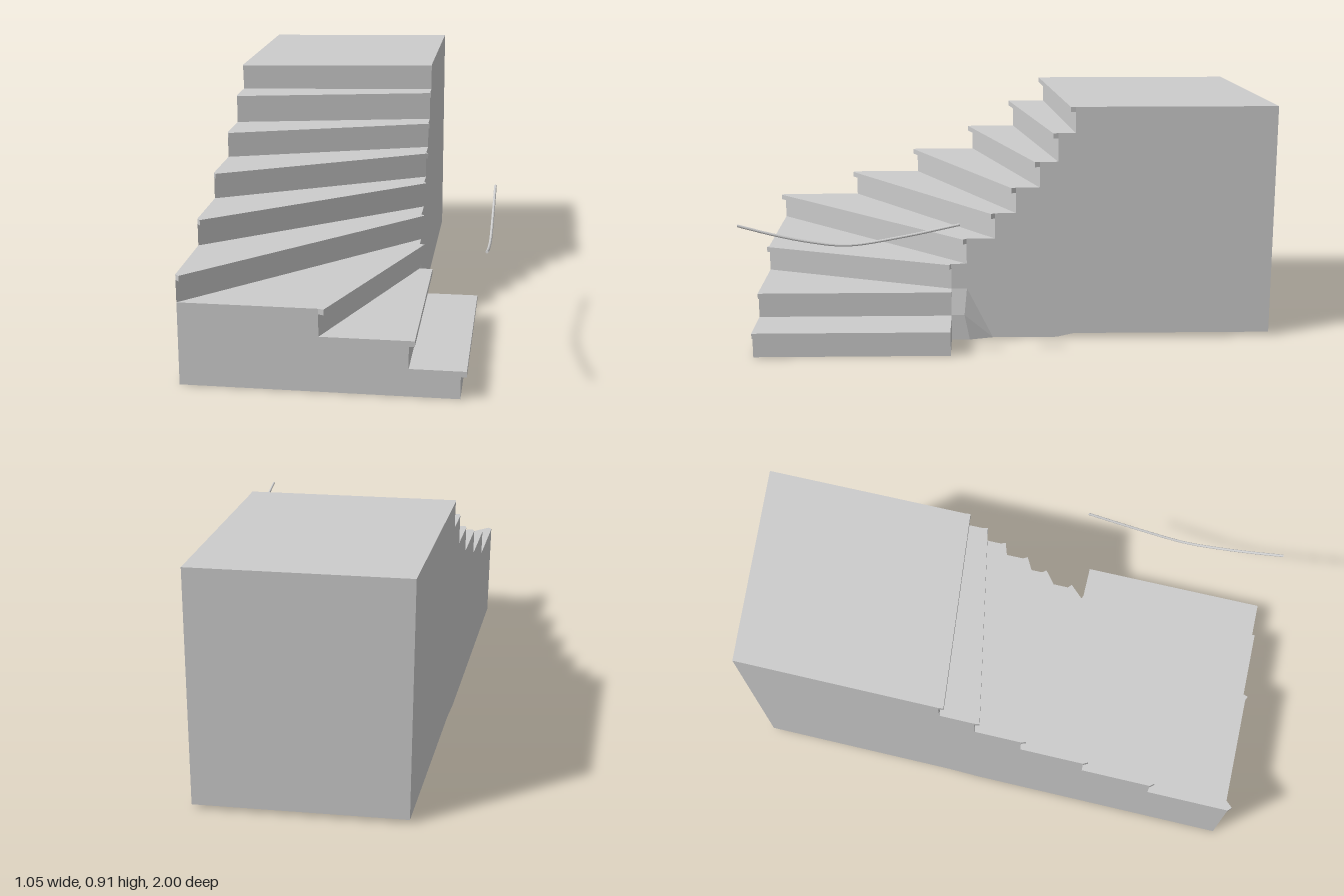
import * as THREE from 'three';
import { ConvexGeometry } from 'three/addons/geometries/ConvexGeometry.js';

const material = new THREE.MeshStandardMaterial({ color: 0xcccccc, flatShading: true });

// Plan positions [x, z] of each riser's two ends, bottom step first; the last pair is the back wall
const outer = [[0.44, 0.98], [0.265, 0.98], [-0.04, 0.98], [-0.525, 0.98], [-0.525, 0.665],
  [-0.525, 0.4], [-0.525, 0.16], [-0.525, -0.015], [-0.525, -0.145], [-0.525, -0.91]];
const inner = [[0.44, 0.24], [0.265, 0.24], [0.235, 0.24], [0.235, 0.18], [0.235, 0.07],
  [0.235, -0.01], [0.235, -0.1], [0.235, -0.17], [0.235, -0.235], [0.235, -1]];
const heights = [0.1, 0.2, 0.3, 0.4, 0.5, 0.6, 0.7, 0.81, 0.91];
const NOSE = 0.02;

const at = ([x, z], y) => [x, y, z];
const floorY = (i) => (i >= 8 ? 0.015 : 0);

// Mesh made of quads, corners counter-clockwise from outside
function quadMesh(name, quads) {
  const positions = quads.flatMap(([a, b, c, d]) => [a, b, c, a, c, d].flat());
  const geometry = new THREE.BufferGeometry();
  geometry.setAttribute('position', new THREE.Float32BufferAttribute(positions, 3));
  geometry.computeVertexNormals();
  const mesh = new THREE.Mesh(geometry, material);
  mesh.name = name;
  return mesh;
}

// Treads, risers, side walls and underside of one step
function stepQuads(i) {
  const o = outer[i], n = inner[i], o2 = outer[i + 1], n2 = inner[i + 1];
  const top = heights[i], below = i ? heights[i - 1] : 0;
  const f = floorY(i), f2 = floorY(i + 1);
  return [
    [at(o, top), at(n, top), at(n2, top), at(o2, top)],
    [at(o, below), at(n, below), at(n, top - NOSE), at(o, top - NOSE)],
    [at(o2, f2), at(o, f), at(o, top), at(o2, top)],
    [at(n, f), at(n2, f2), at(n2, top), at(n, top)],
    [at(o2, f2), at(n2, f2), at(n, f), at(o, f)],
  ];
}

// Overhanging strip along the front edge of a tread
function noseQuads(i) {
  const o = outer[i], n = inner[i], top = heights[i], low = top - NOSE;
  const dx = n[0] - o[0], dz = n[1] - o[1], k = NOSE / Math.hypot(dx, dz);
  const shift = ([x, z]) => [x - dz * k, z + dx * k];
  const p = shift(o), q = shift(n);
  return [
    [at(p, low), at(q, low), at(q, top), at(p, top)],
    [at(p, top), at(q, top), at(n, top), at(o, top)],
    [at(o, low), at(n, low), at(q, low), at(p, low)],
    [at(o, low), at(p, low), at(p, top), at(o, top)],
    [at(q, low), at(n, low), at(n, top), at(q, top)],
  ];
}

export function createModel() {
  const group = new THREE.Group();
  group.name = 'winderStaircase';

  // Solid stair body, closed by the back wall
  const last = heights.length, top = heights[last - 1], f = floorY(last);
  const body = heights.flatMap((_, i) => stepQuads(i));
  body.push([at(inner[last], f), at(outer[last], f), at(outer[last], top), at(inner[last], top)]);
  group.add(quadMesh('stairBody', body));

  // Tread nosings
  heights.forEach((_, i) => group.add(quadMesh('treadNosing' + (i + 1), noseQuads(i))));

  // Small tapered filler in the inside corner
  const filler = new THREE.Mesh(new ConvexGeometry([
    [0.235, 0, 0.08], [0.26, 0, 0.17], [0.26, 0, 0.24], [0.235, 0, 0.24],
    [0.26, 0.1, 0.24], [0.26, 0.1, 0.19], [0.235, 0.2, 0.24], [0.235, 0.2, 0.18],
  ].map((p) => new THREE.Vector3(...p))), material);
  filler.name = 'cornerFiller';
  group.add(filler);

  // Thin sagging handrail beside the lowest steps
  const path = new THREE.CatmullRomCurve3([[1, 0.53], [0.87, 0.495], [0.75, 0.47], [0.61, 0.455],
    [0.41, 0.485], [0.2, 0.53]].map(([z, y]) => new THREE.Vector3(0.517, y, z)));
  const section = new THREE.Shape().absarc(0, 0, 0.005, 0, Math.PI * 2);
  const rail = new THREE.Mesh(new THREE.ExtrudeGeometry(section,
    { steps: 20, curveSegments: 8, extrudePath: path }), material);
  rail.name = 'handrail';
  group.add(rail);

  return group;
}
